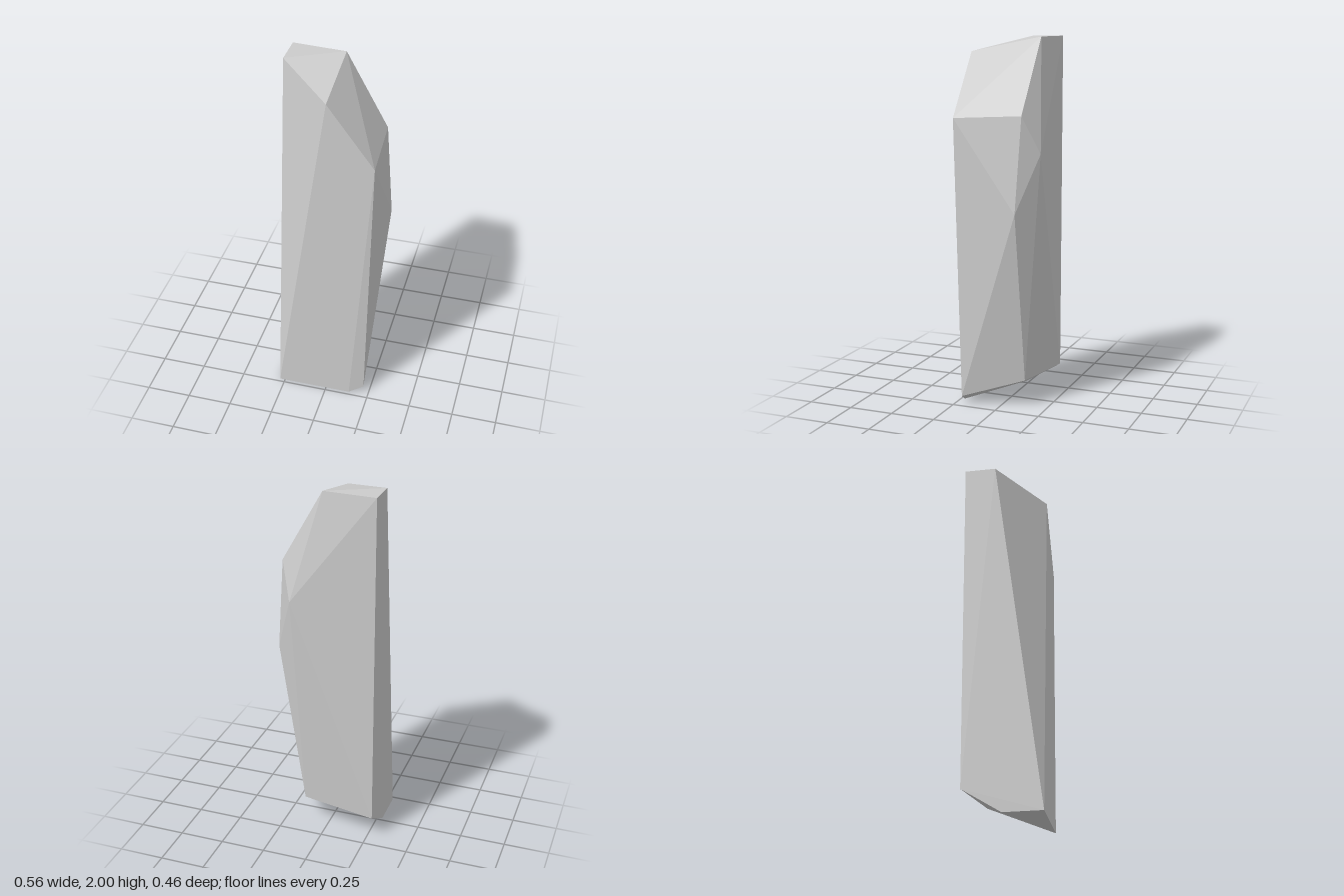
import * as THREE from 'three';
import { ConvexGeometry } from 'three/addons/geometries/ConvexGeometry.js';

// A tall faceted stone slab: the convex hull of its chiselled corners.
export function createModel() {
  const corners = [
    // flat tip
    [-0.28, 2, -0.02], [-0.28, 2, -0.19], [0.01, 2, -0.17],
    // sloping shoulder
    [0.01, 1.92, 0.23], [0.26, 1.58, 0.23], [0.24, 1.6, -0.147],
    // bulging back and side
    [0.175, 1.4, -0.23], [0.28, 1.09, -0.125],
    // bevelled lower rim
    [0.22, 0.045, 0.21], [0.137, 0.15, -0.13], [-0.28, 0.13, -0.188],
    // small flat foot
    [-0.28, 0, 0.23], [0.137, 0, 0.23], [-0.28, 0, 0.02],
  ].map((c) => new THREE.Vector3(...c));

  const material = new THREE.MeshStandardMaterial({ color: 0xcccccc, flatShading: true });
  const slab = new THREE.Mesh(new ConvexGeometry(corners), material);
  slab.name = 'stoneSlab';

  const model = new THREE.Group();
  model.name = 'standingStone';
  model.add(slab);
  return model;
}
